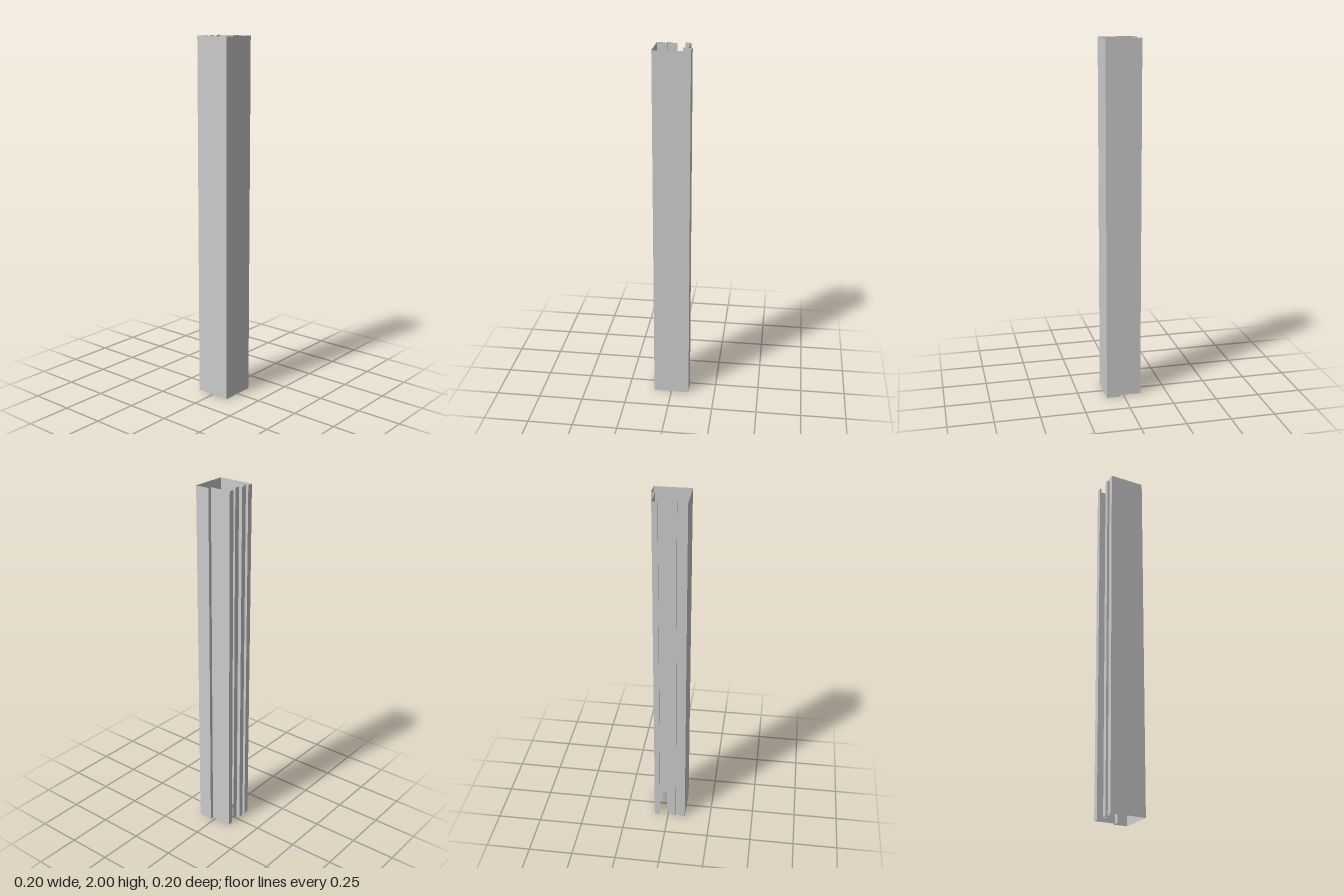
import * as THREE from 'three';

const HEIGHT = 2;
const material = new THREE.MeshStandardMaterial({ color: 0xcccccc, side: THREE.DoubleSide, flatShading: true });

// Sweeps an open [x, z] profile straight up into a thin, uncapped sheet
function sheet(name, profile) {
  const positions = [];
  for (let i = 0; i < profile.length - 1; i++) {
    const [ax, az] = profile[i];
    const [bx, bz] = profile[i + 1];
    positions.push(
      ax, 0, az, bx, 0, bz, bx, HEIGHT, bz,
      ax, 0, az, bx, HEIGHT, bz, ax, HEIGHT, az
    );
  }
  const geometry = new THREE.BufferGeometry();
  geometry.setAttribute('position', new THREE.Float32BufferAttribute(positions, 3));
  geometry.computeVertexNormals();
  const mesh = new THREE.Mesh(geometry, material);
  mesh.name = name;
  return mesh;
}

export function createModel() {
  const group = new THREE.Group();
  group.name = 'foldedFrameProfile';

  // Flat front and the two side walls
  group.add(sheet('frontPanel', [[-0.1, 0.1], [0.1, 0.1]]));
  group.add(sheet('rightWall', [[-0.1, -0.1], [-0.1, 0.1]]));
  group.add(sheet('leftWall', [[0.1, 0.1], [0.1, 0.02]]));

  // Inward step, then the set-back flange with its folded rear lip
  group.add(sheet('innerStep', [[0.1, 0.02], [0.05, 0.02]]));
  group.add(sheet('leftFlange', [[0.08, 0.02], [0.08, -0.1], [0.05, -0.1], [0.05, -0.09]]));

  // Grooved lip along the back of the right wall
  group.add(sheet('groovedLip', [
    [-0.1, -0.1], [-0.07, -0.1], [-0.07, -0.085], [-0.045, -0.085],
    [-0.045, -0.1], [-0.02, -0.1], [-0.02, -0.08], [0.01, -0.08],
  ]));

  return group;
}
